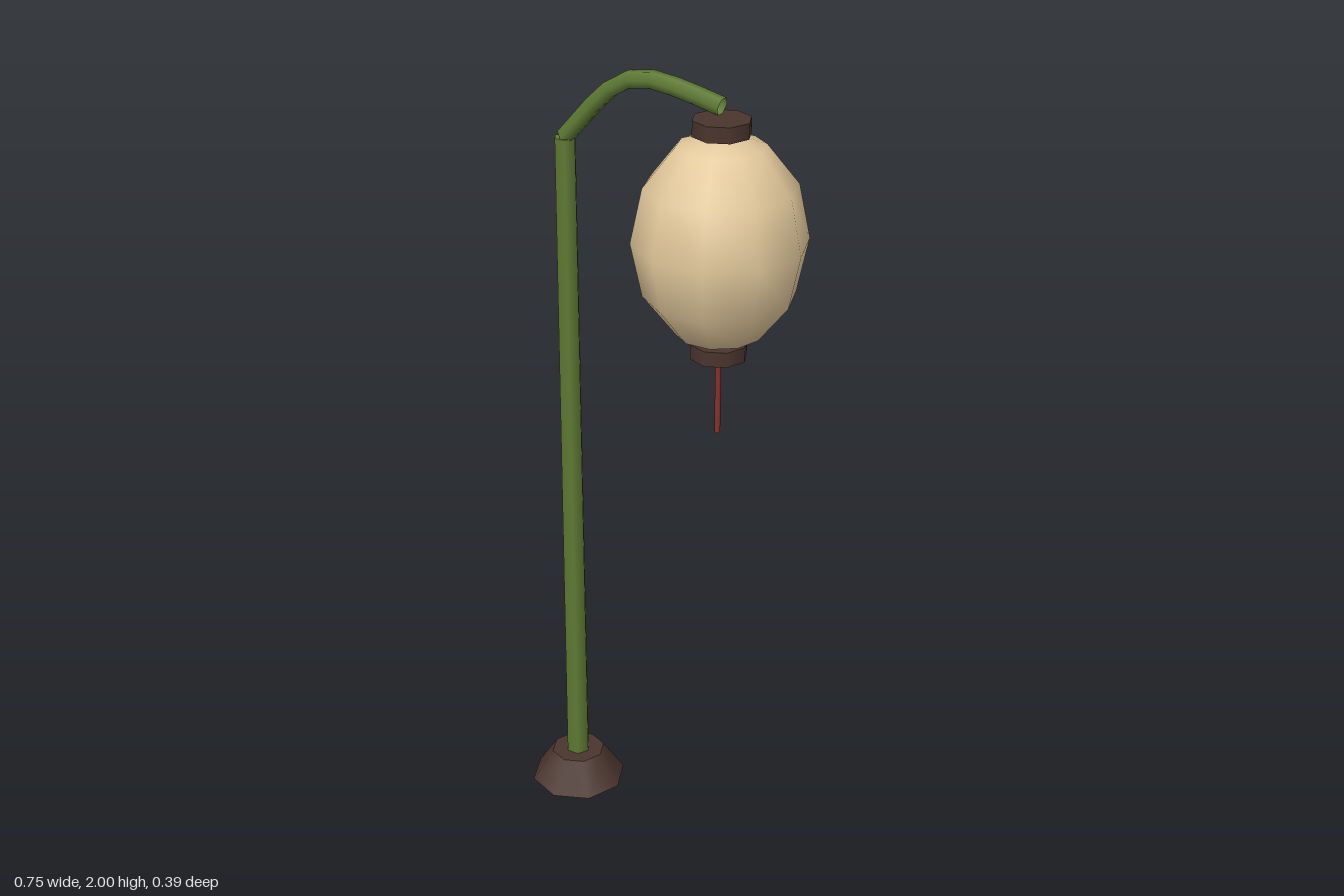
import * as THREE from 'three';

const mat = (name, color, side = THREE.FrontSide) => {
  const m = new THREE.MeshStandardMaterial({ color, side });
  m.name = name;
  return m;
};

export function createModel() {
  const model = new THREE.Group();
  model.name = 'lanternPost';
  const green = mat('stem green', 0x5f7a34, THREE.DoubleSide);
  const brown = mat('dark brown', 0x4a352d, THREE.DoubleSide);
  const cream = mat('paper cream', 0xe3c99c);
  const red = mat('cord red', 0x8c3226);
  const postX = -0.25, lampX = 0.165;

  const add = (name, geometry, material, x = 0, y = 0) => {
    const mesh = new THREE.Mesh(geometry, material);
    mesh.name = name;
    mesh.position.set(x, y, 0);
    model.add(mesh);
    return mesh;
  };

  // Cylinder between two heights with a closed top and an open underside
  const hollow = (rTop, rBottom, height, sides) => {
    const g = new THREE.CylinderGeometry(rTop, rBottom, height, sides);
    g.setIndex(Array.from(g.index.array).slice(0, sides * 9)); // walls and top cap
    g.clearGroups();
    return g.rotateY(Math.PI / 2).translate(0, height / 2, 0);
  };

  // Foot and tapered post
  add('base', hollow(0.07, 0.125, 0.083, 8), brown, postX);
  add('post', hollow(0.027, 0.032, 1.805, 6), green, postX);

  // Curved arm reaching over the lantern
  const path = new THREE.CatmullRomCurve3([
    [-0.25, 1.806], [-0.13, 1.935], [-0.07, 1.971], [-0.01, 1.978], [0.07, 1.966], [0.165, 1.944],
  ].map(([x, y]) => new THREE.Vector3(x, y, 0)));
  add('arm', new THREE.TubeGeometry(path, 8, 0.022, 6), green);

  // Lantern body, stretched upward
  const body = new THREE.SphereGeometry(0.206, 10, 6).scale(1, 1.262, 1);
  add('lanternBody', body, cream, lampX, 1.63);

  // Collars above and below
  add('topCollar', hollow(0.069, 0.069, 0.037, 8), brown, lampX, 1.88);
  add('bottomCollar', hollow(0.069, 0.069, 0.037, 8), brown, lampX, 1.343);

  // Hanging cord
  add('cord', new THREE.CylinderGeometry(0.007, 0.007, 0.235, 6), red, lampX, 1.2625);

  return model;
}
